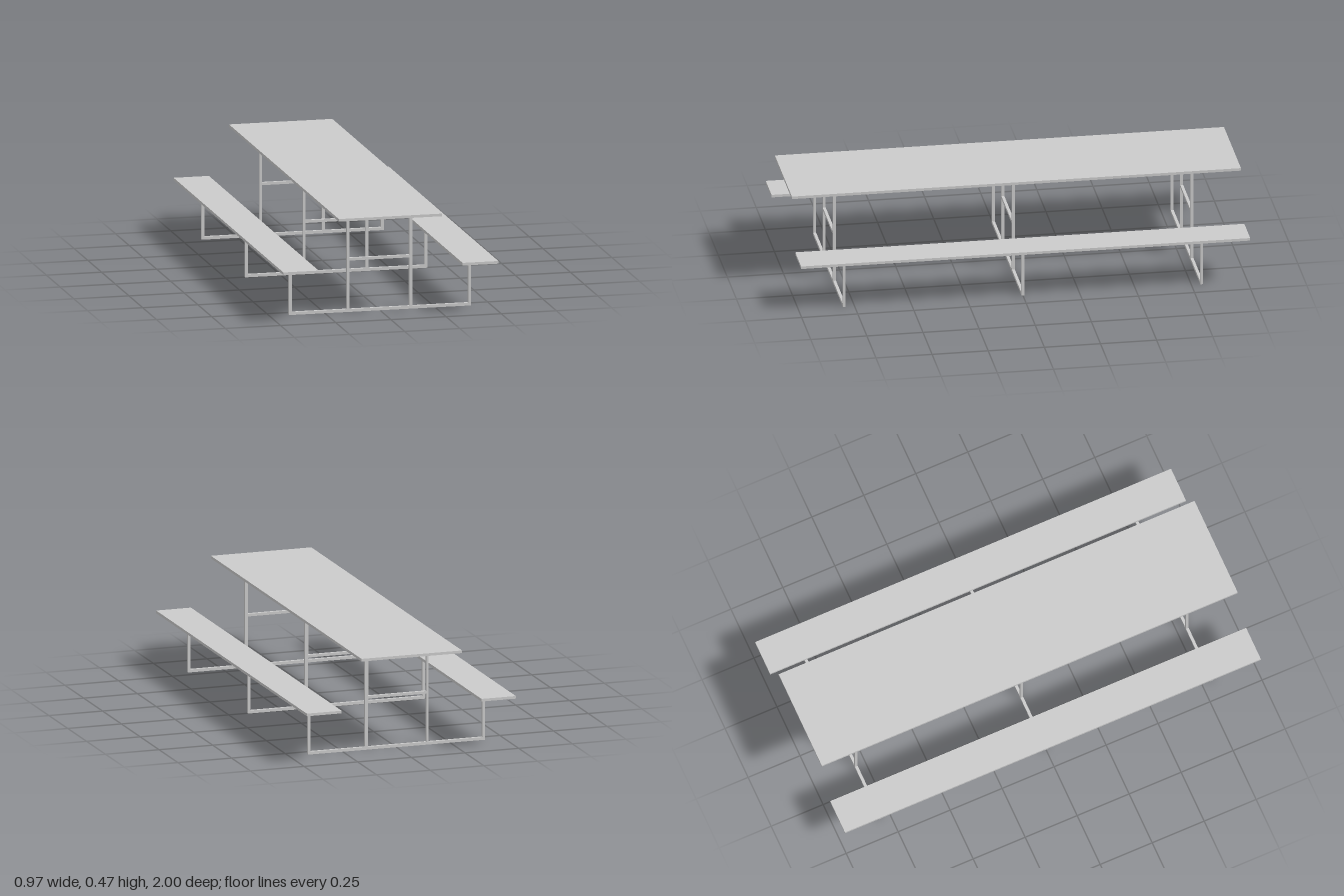
import * as THREE from 'three';

const material = new THREE.MeshStandardMaterial({ color: 0xcccccc });

// Box given by its limits on each axis
function box(name, [x0, x1], [y0, y1], [z0, z1]) {
  const geometry = new THREE.BoxGeometry(x1 - x0, y1 - y0, z1 - z0);
  geometry.translate((x0 + x1) / 2, (y0 + y1) / 2, (z0 + z1) / 2);
  const mesh = new THREE.Mesh(geometry, material);
  mesh.name = name;
  return mesh;
}

// One welded frame of square bars, in the xy plane
function createFrame() {
  const frame = new THREE.Group();
  frame.name = 'frame';
  const depth = [-0.0065, 0.0065];
  frame.add(
    box('baseBar', [-0.413, 0.413], [0, 0.013], depth),
    box('rightSeatPost', [-0.413, -0.4], [0.013, 0.226], depth),
    box('leftSeatPost', [0.4, 0.413], [0.013, 0.226], depth),
    box('rightTablePost', [-0.15, -0.139], [0.013, 0.453], depth),
    box('leftTablePost', [0.133, 0.146], [0.013, 0.453], depth),
    box('crossBar', [-0.139, 0.133], [0.231, 0.243], depth)
  );
  return frame;
}

export function createModel() {
  const model = new THREE.Group();
  model.name = 'picnicTable';

  // Boards run the full length
  const length = [-1, 1];
  model.add(
    box('tableTop', [-0.236, 0.232], [0.453, 0.465], length),
    box('rightSeat', [-0.487, -0.327], [0.226, 0.238], length),
    box('leftSeat', [0.325, 0.487], [0.226, 0.238], length)
  );

  // Three supporting frames
  for (const z of [-0.796, 0, 0.796]) {
    const frame = createFrame();
    frame.position.z = z;
    model.add(frame);
  }
  return model;
}
